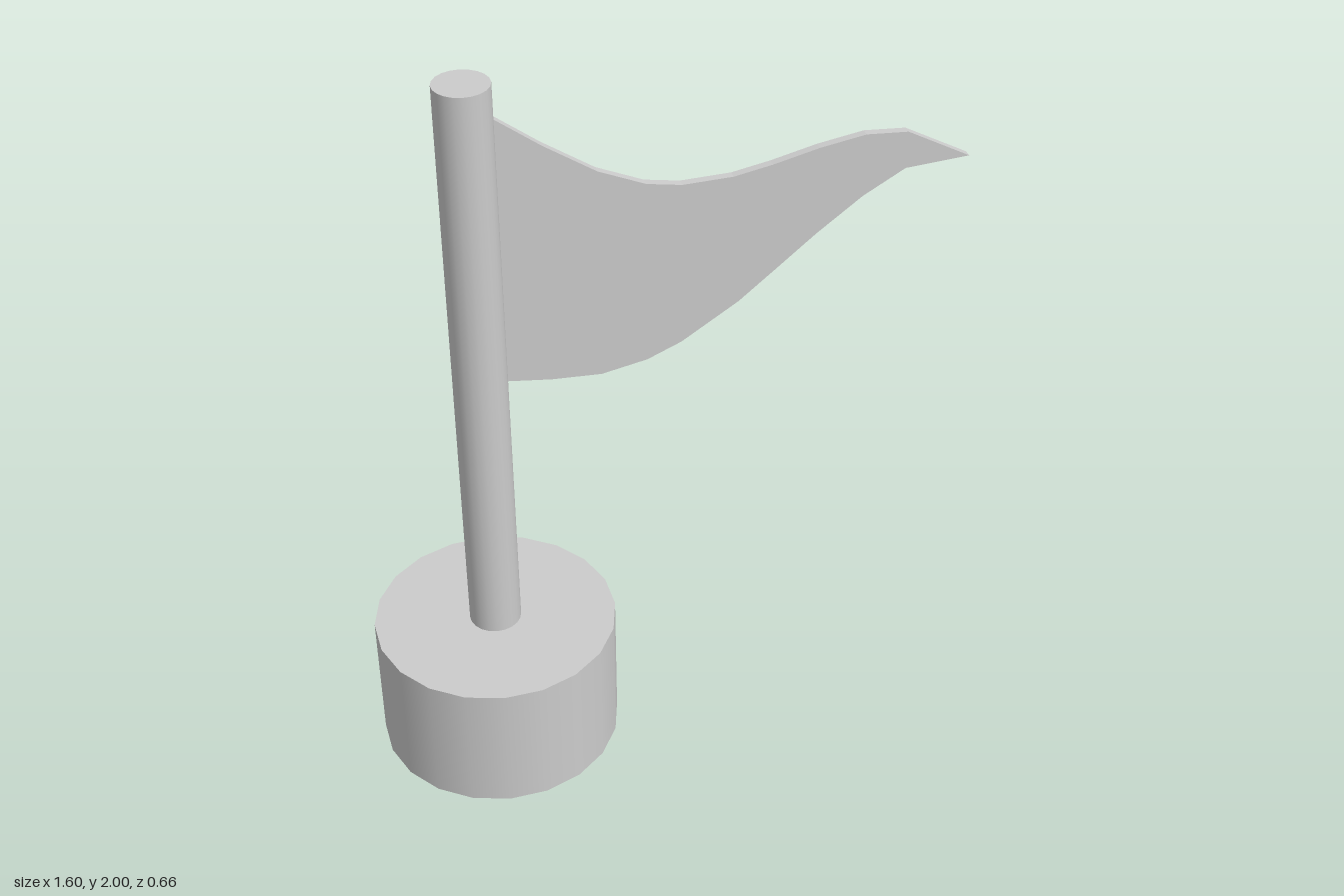
import * as THREE from 'three';

const POLE_X = -0.47;
const BASE_H = 0.38;
const FLAG_ANGLE = THREE.MathUtils.degToRad(9);

export function createModel() {
  const group = new THREE.Group();
  const material = new THREE.MeshStandardMaterial({ color: 0xcccccc, side: THREE.DoubleSide });

  const add = (name, geometry, x, y) => {
    const mesh = new THREE.Mesh(geometry, material);
    mesh.name = name;
    mesh.position.set(x, y, 0);
    group.add(mesh);
    return mesh;
  };

  // Hollow base: a wall and a top disc, open underneath
  add('baseWall', new THREE.CylinderGeometry(0.33, 0.33, BASE_H, 20, 1, true), POLE_X, BASE_H / 2);
  const top = new THREE.CircleGeometry(0.33, 20).rotateX(-Math.PI / 2);
  add('baseTop', top, POLE_X, BASE_H);

  // Pole standing on the base, closed at its upper end
  const poleH = 2 - BASE_H;
  add('pole', new THREE.CylinderGeometry(0.07, 0.07, poleH, 20, 1, true), POLE_X, BASE_H + poleH / 2);
  const cap = new THREE.CircleGeometry(0.07, 20).rotateX(-Math.PI / 2);
  add('poleCap', cap, POLE_X, 2);

  // Flag outline: upper edge out to the tip, then lower edge back to the pole
  const outline = [
    [-0.405, 1.905], [-0.29, 1.815], [-0.16, 1.725], [-0.04, 1.67], [0.05, 1.652],
    [0.18, 1.653], [0.28, 1.67], [0.4, 1.697], [0.52, 1.715], [0.63, 1.705],
    [0.8, 1.61], [0.63, 1.602], [0.52, 1.54], [0.4, 1.45], [0.3, 1.367],
    [0.2, 1.285], [0.05, 1.19], [-0.04, 1.153], [-0.16, 1.132], [-0.29, 1.142],
    [-0.405, 1.16],
  ].map(([x, y]) => new THREE.Vector2((x - POLE_X) / Math.cos(FLAG_ANGLE), y));

  const flagDepth = 0.022;
  const flagGeometry = new THREE.ExtrudeGeometry(new THREE.Shape(outline), {
    depth: flagDepth,
    bevelEnabled: false,
  }).translate(0, 0, -flagDepth / 2);

  // The flag swings backward a little around the pole
  add('flag', flagGeometry, POLE_X, 0).rotation.y = FLAG_ANGLE;

  return group;
}
